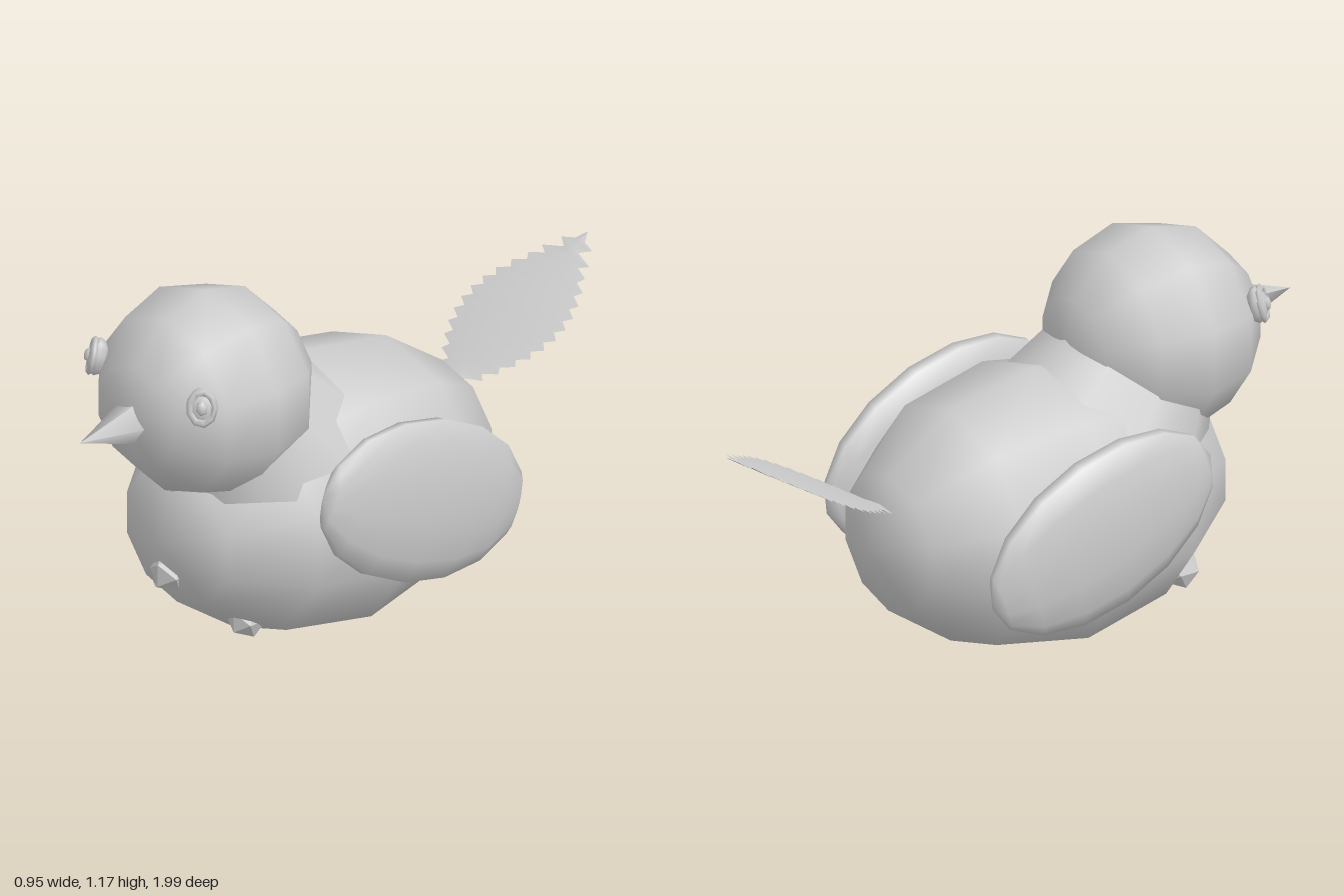
import * as THREE from 'three';
import { toCreasedNormals } from 'three/addons/utils/BufferGeometryUtils.js';

// Low-poly ball whose poles lie on the z axis, scaled to an ellipsoid
function ball(rx, ry, rz, sides = 10, rings = 6) {
  const g = new THREE.SphereGeometry(1, sides, rings);
  g.rotateY(Math.PI / 10).rotateX(Math.PI / 2).scale(rx, ry, rz);
  return g;
}

// Thin feather fan: diamond cross-sections with a saw-toothed edge
function tailGeometry() {
  // [t along the tail, half width, half thickness]
  const rows = [[0, 0.06, 0.008], [0.04, 0.055, 0.008], [0.07, 0.03, 0.008], [0.1, 0.09, 0.008]];
  const steps = 20;
  for (let i = 0; i <= steps; i++) {
    const s = i / steps;
    const width = 0.085 + 0.1 * Math.pow(Math.sin(Math.PI * s), 0.9);
    rows.push([0.13 + 0.7 * s, width + (i % 2 ? 0.015 : -0.015), 0.008 + 0.008 * Math.sin(Math.PI * s)]);
  }
  rows.push([0.86, 0.1, 0.007], [0.9, 0.03, 0.006], [0.94, 0.065, 0.005], [0.965, 0.02, 0.004], [1.02, 0.001, 0.001]);
  const pos = [], index = [];
  rows.forEach(([t, w, h], r) => {
    const z = -0.44 - 0.54 * t, y = 0.54 + 0.3 * t;
    pos.push(w, y, z, 0, y + h, z, -w, y, z, 0, y - h, z);
    if (!r) return;
    const a = (r - 1) * 4, b = r * 4;
    for (let k = 0; k < 4; k++) {
      const n = (k + 1) % 4;
      index.push(a + k, b + n, b + k, a + k, a + n, b + n);
    }
  });
  const g = new THREE.BufferGeometry();
  g.setAttribute('position', new THREE.Float32BufferAttribute(pos, 3));
  g.setIndex(index);
  return toCreasedNormals(g, 0.7);
}

export function createModel() {
  const model = new THREE.Group();
  model.name = 'bird';
  const grey = new THREE.MeshStandardMaterial({ color: 0xcccccc });
  grey.name = 'plain grey';
  const thinGrey = grey;
  thinGrey.side = THREE.DoubleSide;

  const add = (name, geometry, x = 0, y = 0, z = 0, parent = model) => {
    const mesh = new THREE.Mesh(geometry, grey);
    mesh.name = name;
    mesh.position.set(x, y, z);
    parent.add(mesh);
    return mesh;
  };

  // Body and head
  add('body', ball(0.44, 0.42, 0.6), 0, 0.42, 0.1);
  add('head', ball(0.325, 0.315, 0.315), 0, 0.855, 0.51);

  // Neck flares from the head into the shoulders
  const neck = add('neck', new THREE.CylinderGeometry(0.25, 0.36, 0.3, 10, 1, true), 0, 0.66, 0.37);
  neck.rotation.x = 0.6;

  // Five-sided beak with one corner toward the left
  const beak = new THREE.ConeGeometry(0.08, 0.24, 5, 1);
  beak.rotateY(Math.PI / 2).rotateX(Math.PI / 2);
  add('beak', beak, 0, 0.845, 0.88);

  // Wings and eyes, mirrored
  for (const side of [1, -1]) {
    const label = side > 0 ? 'left' : 'right';
    const wing = add(label + 'Wing', ball(0.073, 0.255, 0.41, 12, 8), side * 0.405, 0.485, 0.04);
    wing.rotation.x = -0.35;

    const eye = new THREE.Group();
    eye.name = label + 'Eye';
    eye.position.set(side * 0.22, 0.95, 0.725);
    eye.rotation.set(-0.2, side * 0.75, 0, 'YXZ');
    add('eyeBase', ball(0.045, 0.058, 0.03, 8, 6), 0, 0, 0, eye);
    const rim = new THREE.TorusGeometry(0.036, 0.011, 5, 9);
    rim.scale(1, 1.3, 1);
    add('eyeRim', rim, 0, 0, 0.015, eye);
    add('pupil', ball(0.018, 0.024, 0.014, 6, 4), 0, 0, 0.026, eye);
    model.add(eye);
  }

  // Small low bumps on the breast and at the feet
  add('breastTuft', new THREE.IcosahedronGeometry(0.065, 0), -0.01, 0.31, 0.63);
  add('rightFoot', new THREE.IcosahedronGeometry(0.06, 0), -0.2, 0.18, 0.465);
  add('leftFoot', new THREE.IcosahedronGeometry(0.06, 0), 0.1, 0.135, 0.44);

  add('tail', tailGeometry());
  return model;
}
